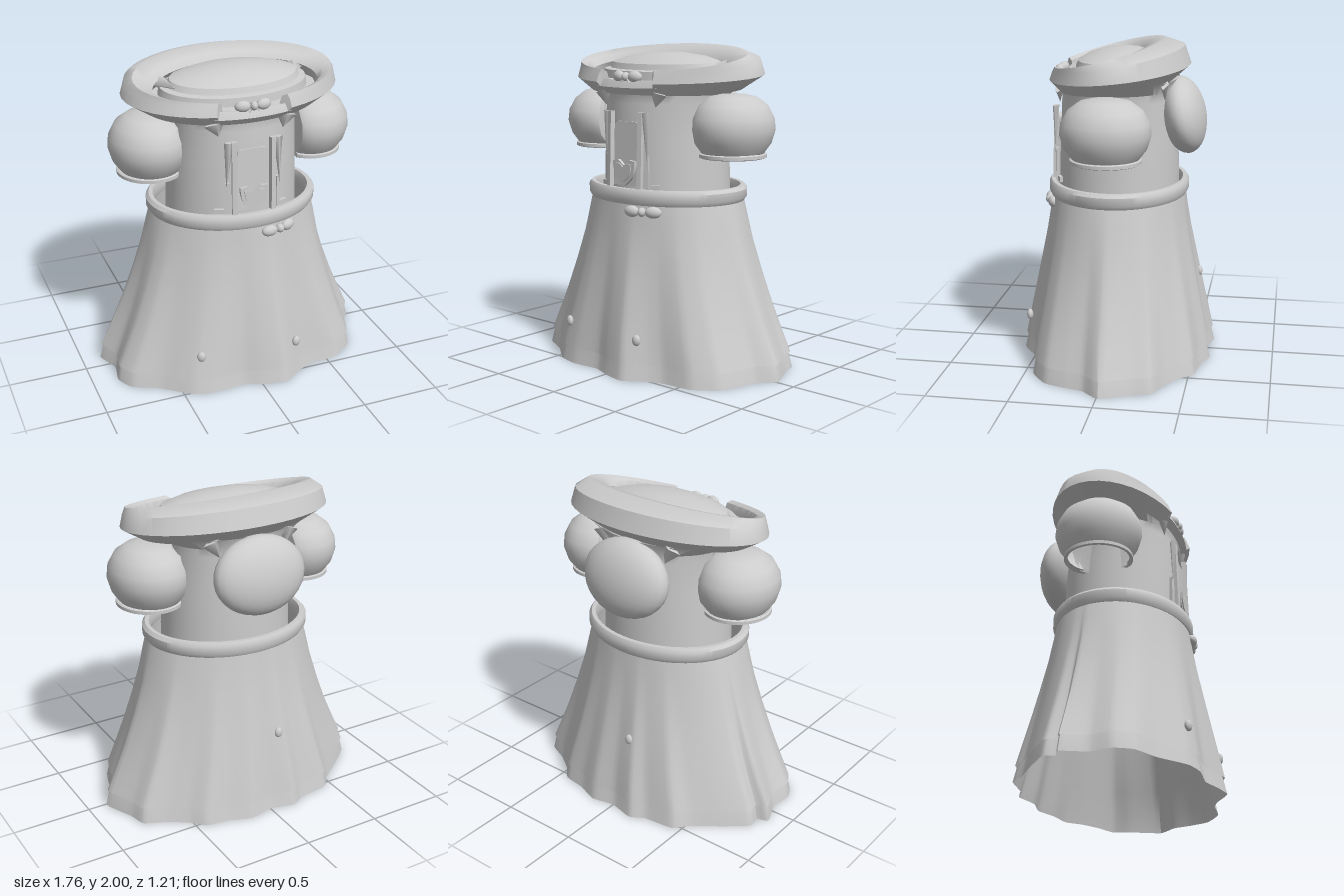
import * as THREE from 'three';
import { toCreasedNormals } from 'three/addons/utils/BufferGeometryUtils.js';

const cloth = new THREE.MeshStandardMaterial({ color: 0xcccccc, side: THREE.DoubleSide });
cloth.name = 'grey cloth';
const { cos, sin, PI } = Math;
const lerp = THREE.MathUtils.lerp;

// Surface from a grid of points: i runs around, j runs along the section
function grid(point, nu, nv, crease = 0.7) {
  const pos = [], idx = [];
  for (let i = 0; i <= nu; i++) for (let j = 0; j <= nv; j++) pos.push(...point(i, j));
  for (let i = 0; i < nu; i++) for (let j = 0; j < nv; j++) {
    const a = i * (nv + 1) + j, b = a + nv + 1;
    idx.push(a, a + 1, b, b, a + 1, b + 1);
  }
  const g = new THREE.BufferGeometry();
  g.setAttribute('position', new THREE.Float32BufferAttribute(pos, 3));
  g.setIndex(idx);
  return toCreasedNormals(g, crease);
}

// Stack of elliptical rings [y, rx, rz]
function rings(rows, nu = 64) {
  return grid((i, j) => {
    const a = (i % nu) / nu * PI * 2, [y, rx, rz] = rows[j];
    return [rx * cos(a), y, rz * sin(a)];
  }, nu, rows.length - 1);
}

// Irregular pleats: the hem outline [x, z], fading to an ellipse at the waist
const hem = [[0.88, -0.01], [0.79, 0.1], [0.76, 0.22], [0.71, 0.35], [0.57, 0.45], [0.38, 0.47], [0.29, 0.51], [0.15, 0.6],
  [0, 0.57], [-0.12, 0.53], [-0.31, 0.545], [-0.45, 0.51], [-0.62, 0.38], [-0.78, 0.3], [-0.84, 0.19], [-0.82, 0.05],
  [-0.88, -0.1], [-0.81, -0.13], [-0.82, -0.21], [-0.68, -0.33], [-0.52, -0.45], [-0.445, -0.535], [-0.25, -0.56],
  [-0.16, -0.61], [0, -0.575], [0.15, -0.605], [0.29, -0.555], [0.44, -0.53], [0.52, -0.45], [0.64, -0.37], [0.77, -0.31], [0.8, -0.2]];
const hemCurve = new THREE.CatmullRomCurve3(hem.map(([x, z]) => new THREE.Vector3(x / 0.85, 0, z / 0.585)), true, 'catmullrom', 0.25);

// Pleated cloth from rows [y, rx, rz, pleatStrength]
function pleated(rows) {
  const nu = hem.length * 4;
  return grid((i, j) => {
    const p = hemCurve.getPoint((i % nu) / nu), [y, rx, rz, w] = rows[j];
    const k = lerp(1 / p.length(), 1, w);
    return [rx * p.x * k, y, rz * p.z * k];
  }, nu, rows.length - 1);
}

export function createModel() {
  const root = new THREE.Group();
  root.name = 'dress';
  const add = (name, geo, p = [0, 0, 0], s = [1, 1, 1], r = [0, 0, 0], parent = root) => {
    const m = new THREE.Mesh(geo, cloth);
    m.name = name;
    m.position.set(...p); m.scale.set(...s); m.rotation.set(...r);
    parent.add(m);
    return m;
  };
  const ball = new THREE.SphereGeometry(1, 24, 16);

  // Pleated skirt and the underskirt showing below its hem
  const skirtRows = [[1.08, 0.515, 0.415, 0], [0.95, 0.55, 0.43, 0.1], [0.8, 0.585, 0.452, 0.25],
    [0.6, 0.645, 0.487, 0.5], [0.4, 0.715, 0.523, 0.7], [0.25, 0.775, 0.55, 0.85], [0.1, 0.838, 0.575, 1]];
  add('skirt', pleated(skirtRows));
  add('underskirt', pleated([...skirtRows.slice(1).map(([y, rx, rz, w]) => [y, rx - 0.012, rz - 0.012, w]), [0, 0.85, 0.585, 1]]));

  // Rounded waistband
  const band = [[1.045, 0.5, 0.4], [1.045, 0.525, 0.425], [1.07, 0.543, 0.438], [1.12, 0.543, 0.438],
    [1.14, 0.525, 0.425], [1.14, 0.5, 0.4], [1.1, 0.485, 0.385], [1.045, 0.5, 0.4]];
  add('waistband', rings(band));

  // Bodice flaring into the collar, closed by a stepped low dome
  add('bodice', rings([[1.03, 0.415, 0.375], [1.2, 0.41, 0.375], [1.45, 0.405, 0.365], [1.65, 0.4, 0.355],
    [1.7, 0.41, 0.35], [1.77, 0.54, 0.37]]));
  add('neckDome', rings([[-0.1, 0.54, 0.36], [-0.05, 0.52, 0.345], [-0.05, 0.47, 0.29], [0, 0.46, 0.28],
    [0.005, 0.42, 0.24], [0.04, 0.4, 0.225], [0.07, 0.3, 0.165], [0.092, 0.14, 0.08], [0.097, 0, 0]]),
  [0.01, 1.855, 0.02], [1, 1, 1], [0.06, 0, 0]);

  // Tilted collar roll, wide at the back and open at the front: [rx, rz, zCentre, yFront, yBack]
  const section = [[0.68, 0.43, -0.01, 1.77, 1.85], [0.66, 0.4, 0, 1.82, 1.962], [0.625, 0.33, 0.055, 1.845, 2.0],
    [0.555, 0.27, 0.09, 1.83, 1.965], [0.52, 0.25, 0.1, 1.78, 1.925], [0.55, 0.345, 0.015, 1.7, 1.755]];
  const n = section.length;
  function roll(a0, a1, nu, size) {
    const at = (i, j) => {
      const a = lerp(a0, a1, i / nu), k = (1 - sin(a)) / 2, [rx, rz, zc, yf, yb] = section[j % n];
      return [rx * cos(a), lerp(yf, yb, k), zc + rz * sin(a)];
    };
    return grid((i, j) => {
      const ii = Math.min(Math.max(i - 1, 0), nu);
      const s = i === 0 || i === nu + 2 ? 0 : size;
      return at(ii, j).map((v, c) => {
        const mid = section.reduce((sum, _, q) => sum + at(ii, q)[c], 0) / n;
        return mid + (v - mid) * s;
      });
    }, nu + 2, n, 0.8);
  }
  add('collarRoll', roll(PI * 110 / 180, PI * 430 / 180, 36, 1));
  add('collarFrontBand', roll(PI * 68 / 180, PI * 112 / 180, 8, 0.6), [0, -0.035, -0.005]);

  // Bows made of two flattened loops, a knot and optional tails
  function bow(name, p, turn, w, h, tails) {
    const g = new THREE.Group();
    g.name = name;
    g.position.set(...p);
    g.rotation.y = turn;
    for (const s of [-1, 1]) {
      add('bowLoop', ball, [s * w * 0.58, 0, 0], [w * 0.42, h, 0.03], [0, s * 0.2, 0], g);
      if (tails) add('bowTail', new THREE.ConeGeometry(0.025, 0.08, 4), [s * 0.03, -0.035, 0.015], [1, 1, 0.5], [0, 0, s * 0.6], g);
    }
    add('bowKnot', ball, [0, 0, 0.01], [w * 0.2, h * 0.8, 0.03], [0, 0, 0], g);
    root.add(g);
  }
  bow('collarBow', [0, 1.81, 0.365], 0, 0.113, 0.034, true);
  bow('waistBow', [0.16, 1.008, 0.405], 0.3, 0.124, 0.035, false);

  // Puffed sleeve with an open cuff, flattened where it meets the bodice
  const puff = [[0.2, 1.36], [0.245, 1.42], [0.27, 1.5], [0.262, 1.57], [0.22, 1.645], [0.15, 1.695], [0.08, 1.71], [0, 1.712]];
  const cuff = [[0.19, 1.34], [0.2, 1.33], [0.212, 1.335], [0.212, 1.355], [0.2, 1.36], [0.19, 1.355]];
  function sleevePart(name, profile, side, width) {
    const g = new THREE.LatheGeometry(profile.map(p => new THREE.Vector2(...p)), 40);
    const p = g.attributes.position;
    for (let i = 0; i < p.count; i++) p.setX(i, side * Math.max(0.39, 0.525 + side * width * p.getX(i)));
    add(name, toCreasedNormals(g, 0.6));
  }

  // Sleeves, bodice ribbons and collar points, mirrored
  for (const s of [-1, 1]) {
    sleevePart('sleeve', puff, s, 0.92);
    sleevePart('sleeveCuff', cuff, s, 0.96);
    add('ribbon', new THREE.BoxGeometry(0.03, 0.46, 0.03), [s * 0.122, 1.37, 0.382], [1, 1, 1], [-0.03, s * 0.2, 0]);
    add('ribbonFold', new THREE.ConeGeometry(0.03, 0.3, 4), [s * 0.163, 1.45, 0.375], [1, 1, 0.6], [PI, 0, s * -0.05]);
    add('ribbonTail', new THREE.BoxGeometry(0.025, 0.2, 0.02), [s * 0.162, 1.24, 0.365], [1, 1, 1], [0, s * 0.3, 0]);
    add('ribbonBase', new THREE.BoxGeometry(0.06, 0.03, 0.02), [s * 0.205, 1.15, 0.34], [1, 1, 1], [0, s * 0.4, 0]);
    add('collarPoint', new THREE.ConeGeometry(0.07, 0.09, 4), [s * 0.215, 1.675, 0.335], [1, 1, 0.4], [PI, 0, s * 0.25]);
    add('backCollarPoint', new THREE.ConeGeometry(0.07, 0.12, 4), [s * 0.24, 1.71, -0.31], [1, 1, 0.4], [PI, 0, s * 0.4]);
    add('neckPoint', new THREE.ConeGeometry(0.07, 0.17, 4), [s * 0.41, 1.87, 0.02], [1, 1, 0.6], [PI / 2, 0, s * 0.3]);
  }

  // Arched panel on the chest
  const arch = (w, h) => {
    const r = 0.04, sh = new THREE.Shape();
    sh.moveTo(-w, 0); sh.lineTo(w, 0); sh.lineTo(w, h - r);
    sh.quadraticCurveTo(w, h, w - r, h); sh.lineTo(-w + r, h);
    sh.quadraticCurveTo(-w, h, -w, h - r); sh.lineTo(-w, 0);
    return sh;
  };
  add('chestPanel', new THREE.ExtrudeGeometry(arch(0.1, 0.39), { depth: 0.03, bevelEnabled: false }), [0, 1.15, 0.35], [1, 1, 1], [-0.03, 0, 0]);

  // Heart with a raised inner heart
  const heart = new THREE.Shape();
  heart.moveTo(0, -0.08);
  heart.bezierCurveTo(0.06, -0.05, 0.09, 0, 0.09, 0.075);
  heart.lineTo(0.045, 0.08); heart.lineTo(0, 0.045); heart.lineTo(-0.045, 0.08); heart.lineTo(-0.09, 0.075);
  heart.bezierCurveTo(-0.09, 0, -0.06, -0.05, 0, -0.08);
  const heartGeo = new THREE.ExtrudeGeometry(heart, { depth: 0.02, bevelEnabled: false });
  add('heart', heartGeo, [0, 1.23, 0.38]);
  add('heartCentre', heartGeo, [0, 1.232, 0.39], [0.72, 0.72, 0.9]);

  // Padded puff on the back
  add('backPuff', ball, [0, 1.54, -0.405], [0.305, 0.24, 0.135], [0.2, 0, 0]);

  // Skirt buttons
  for (const [x, y, z] of [[-0.385, 0.255, 0.5], [0.235, 0.255, 0.545], [-0.09, 0.5, -0.51]])
    add('button', ball, [x, y, z], [0.027, 0.034, 0.02], [0, Math.atan2(x, z * 1.9), 0]);

  return root;
}
